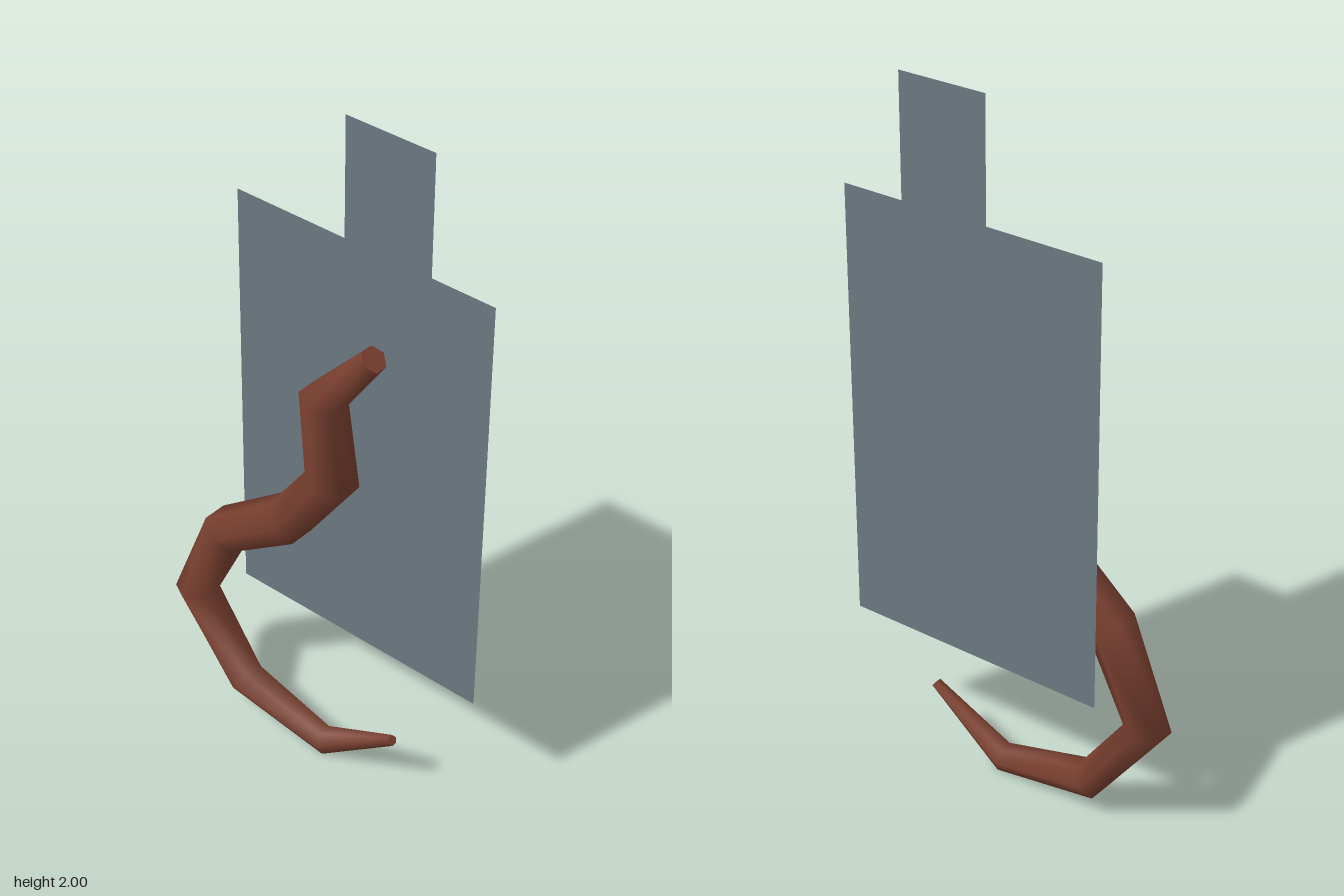
import * as THREE from 'three';

const plateGrey = new THREE.MeshStandardMaterial({ color: 0x6b7780, side: THREE.DoubleSide });
plateGrey.name = 'plateGrey';
const tailBrown = new THREE.MeshStandardMaterial({ color: 0x7a4030 });
tailBrown.name = 'tailBrown';

const SIDES = 6;

// Tail sections from root to tip: outer edge (x, y), inner edge (x, y), centre z, half depth
const sections = [
  [0.17, 1.44, 0.218, 1.398, -0.003, 0.038],
  [-0.01, 1.25, 0.10, 1.228, 0.01, 0.066],
  [0.013, 1.01, 0.135, 0.98, 0.01, 0.073],
  [-0.115, 0.835, -0.032, 0.745, 0.009, 0.074],
  [-0.36, 0.65, -0.268, 0.578, -0.005, 0.071],
  [-0.49, 0.335, -0.38, 0.35, -0.005, 0.065],
  [-0.28, 0.062, -0.222, 0.14, -0.003, 0.057],
  [0.05, 0.005, 0.04, 0.077, -0.003, 0.041],
  [0.29, 0.18, 0.275, 0.20, -0.005, 0.016],
];

// Six-sided ring with a flat facing along the bend and a corner facing z
function ring([ax, ay, bx, by, z, depth]) {
  const points = [];
  for (let k = 0; k < SIDES; k++) {
    const angle = Math.PI / 6 + (k * Math.PI * 2) / SIDES;
    const c = Math.cos(angle) / Math.cos(Math.PI / 6) / 2;
    points.push((ax + bx) / 2 + (bx - ax) * c, (ay + by) / 2 + (by - ay) * c, z + depth * Math.sin(angle));
  }
  return points;
}

function tailGeometry() {
  const positions = sections.flatMap(ring);
  const index = [];
  for (let i = 0; i < sections.length - 1; i++) {
    for (let k = 0; k < SIDES; k++) {
      const a = i * SIDES + k, b = i * SIDES + ((k + 1) % SIDES);
      index.push(a, b, a + SIDES, b, b + SIDES, a + SIDES);
    }
  }
  // Flat caps on their own vertices keep crisp rims
  const addCap = (section, flip) => {
    const start = positions.length / 3;
    positions.push(...ring(section));
    for (let k = 1; k < SIDES - 1; k++) {
      index.push(start, start + (flip ? k + 1 : k), start + (flip ? k : k + 1));
    }
  };
  addCap(sections[0], true);
  addCap(sections[sections.length - 1], false);

  const geometry = new THREE.BufferGeometry();
  geometry.setAttribute('position', new THREE.Float32BufferAttribute(positions, 3));
  geometry.setIndex(index);
  geometry.computeVertexNormals();
  return geometry;
}

export function createModel() {
  const model = new THREE.Group();
  model.name = 'tailOnPlate';

  const tail = new THREE.Mesh(tailGeometry(), tailBrown);
  tail.name = 'tail';
  model.add(tail);

  // Flat backing plate with a narrow neck
  const outline = [
    [-0.32, 0.4], [0.49, 0.4], [0.49, 1.66], [0.3, 1.66],
    [0.3, 2], [0.03, 2], [0.03, 1.66], [-0.32, 1.66],
  ].map(([x, y]) => new THREE.Vector2(x, y));
  const plate = new THREE.Mesh(new THREE.ShapeGeometry(new THREE.Shape(outline)), plateGrey);
  plate.name = 'backPlate';
  plate.position.z = -0.083;
  model.add(plate);

  return model;
}
